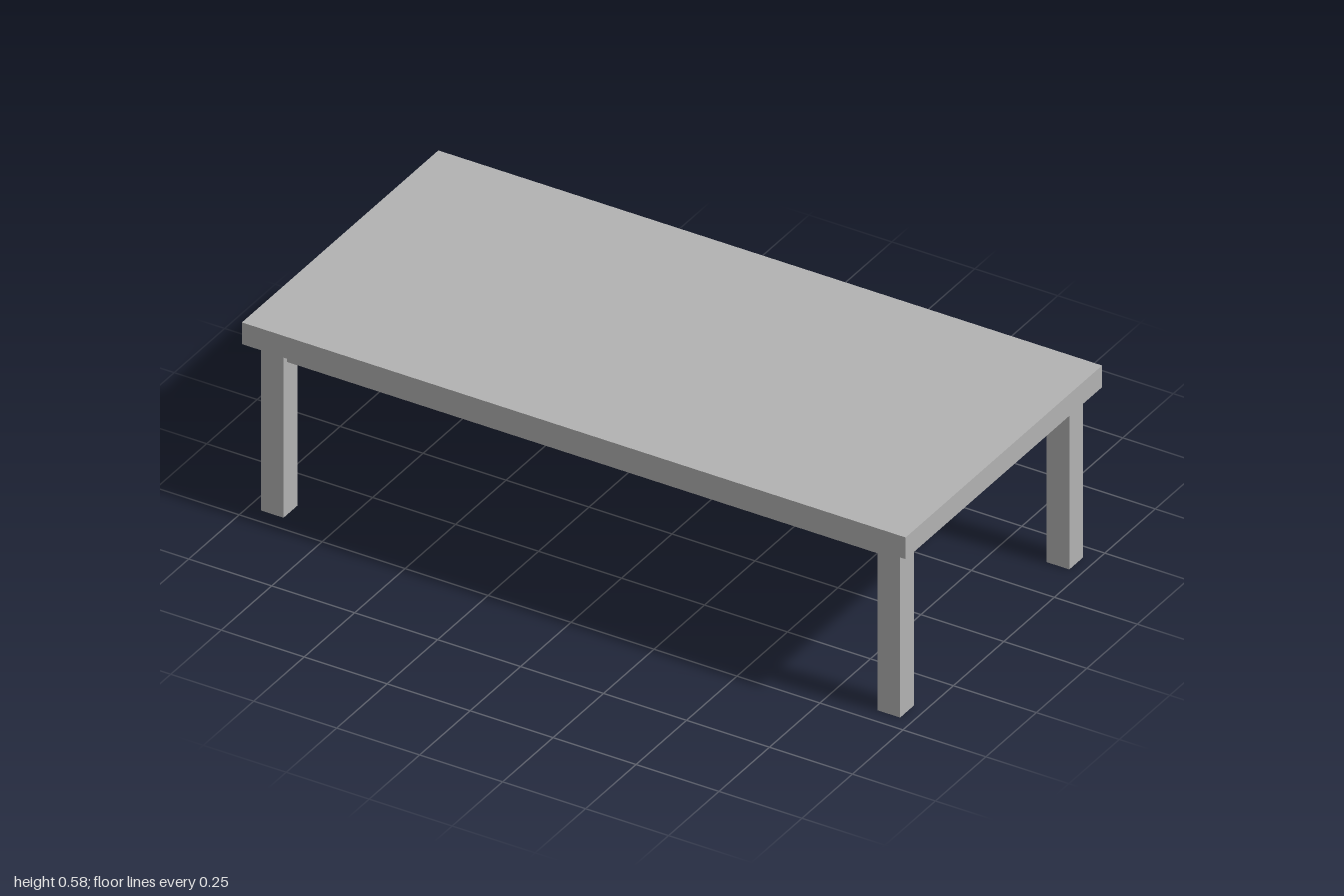
import * as THREE from 'three';

export function createModel() {
  const table = new THREE.Group();
  table.name = 'coffeeTable';
  const grey = new THREE.MeshStandardMaterial({ color: 0xb2b2b2 });
  grey.name = 'plain grey';

  // Box spanning from y0 to y1, centred on x and z
  const addBox = (name, w, d, y0, y1, x, z) => {
    const mesh = new THREE.Mesh(new THREE.BoxGeometry(w, y1 - y0, d), grey);
    mesh.name = name;
    mesh.position.set(x, (y0 + y1) / 2, z);
    table.add(mesh);
  };

  const underside = 0.512;
  const leg = 0.068;
  const legX = 0.929;
  const legZ = 0.419;
  const rail = 0.034;

  addBox('tableTop', 2, 0.973, underside, 0.578, 0, 0);

  for (const s of [-1, 1]) {
    const side = s > 0 ? 'left' : 'right';
    const end = s > 0 ? 'front' : 'back';
    // Square legs, inset from the corners
    for (const t of [-1, 1]) {
      addBox(`${side}${t > 0 ? 'Front' : 'Back'}Leg`, leg, leg, 0, underside, s * legX, t * legZ);
    }
    // Aprons between the legs, centred on the leg thickness
    addBox(`${end}Apron`, 2 * legX - leg, rail, 0.465, underside, 0, s * legZ);
    addBox(`${side}Apron`, rail, 2 * legZ - leg, 0.457, underside, s * legX, 0);
  }
  return table;
}
